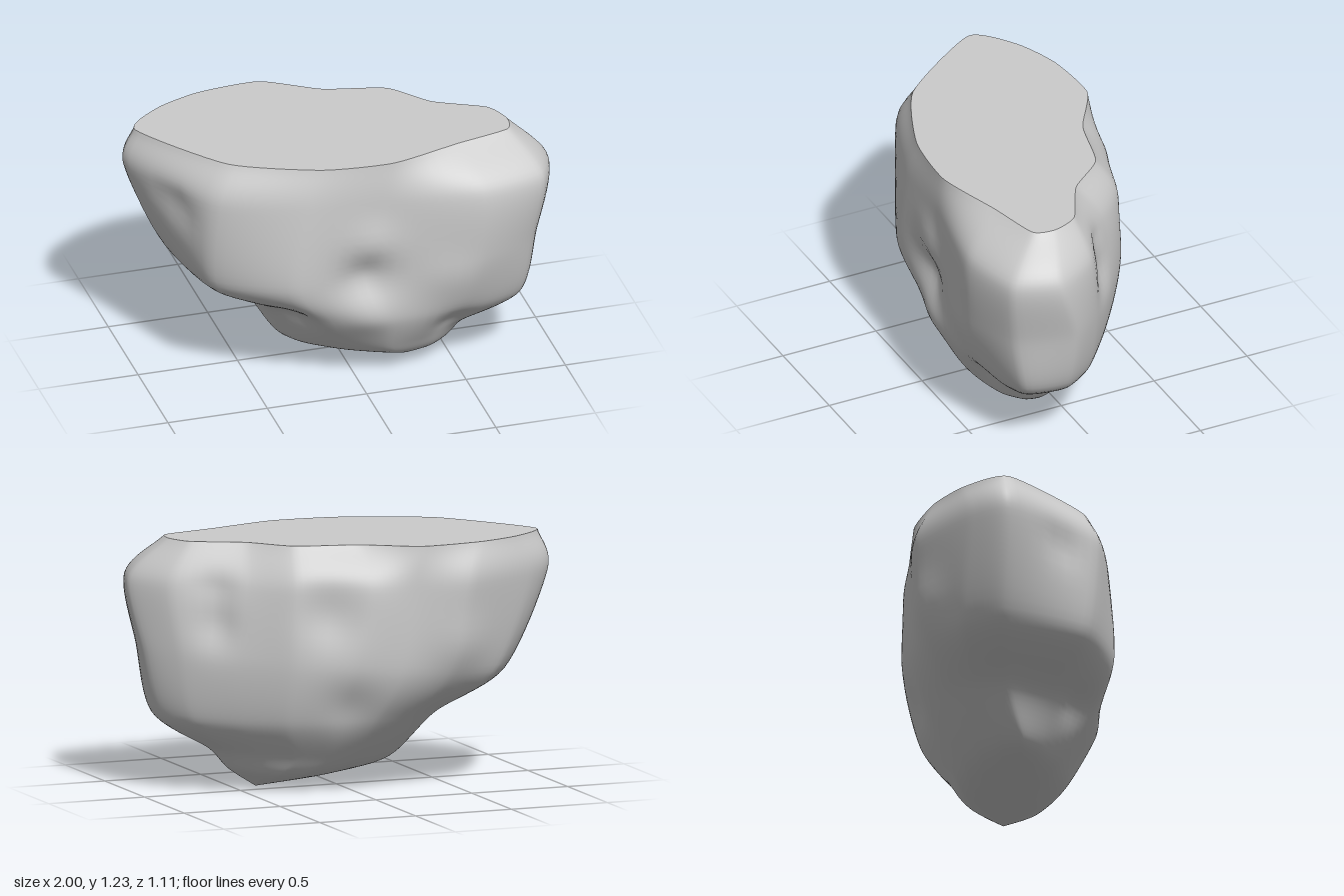
import * as THREE from 'three';

const TOP = 1.225, AROUND = 112, DOWN = 60;

// Outlines (x, z pairs) from the flat top downwards: left tip, back, right tip, front.
// Each lies at height y, rising by tilt along x.
const levels = [
  { y: TOP, tilt: 0, p: [-.95, -.22, -.78, -.40, -.55, -.49, -.24, -.51, .03, -.35, .33, -.27, .50, -.08, .74, .05, .80, .18, .77, .29, .50, .36, .15, .46, -.20, .43, -.62, .24] },
  { y: 1.03, tilt: 0, p: [-1, -.22, -.86, -.39, -.48, -.56, -.20, -.52, .02, -.49, .36, -.38, .55, -.20, .86, .01, .985, .24, .90, .46, .58, .54, .12, .48, -.28, .455, -.71, .28] },
  { y: .62, tilt: .08, p: [-.79, -.20, -.67, -.38, -.40, -.48, -.15, -.50, .10, -.48, .38, -.38, .60, -.22, .83, -.03, .95, .15, .86, .43, .56, .53, .05, .46, -.35, .46, -.70, .23] },
  { y: .36, tilt: 0, p: [-.47, -.10, -.41, -.24, -.25, -.34, -.05, -.39, .15, -.38, .38, -.31, .57, -.18, .76, -.02, .86, .14, .81, .36, .50, .45, .12, .46, -.20, .39, -.40, .15] },
  { y: .15, tilt: .07, p: [-.29, .02, -.24, -.08, -.13, -.16, 0, -.21, .14, -.23, .30, -.20, .43, -.12, .55, 0, .61, .12, .57, .24, .40, .34, .15, .37, -.08, .26, -.23, .13] },
];
const tip = new THREE.Vector3(.38, 0, .1);

// Hollows (negative) and swellings (positive): x, y, z, amount, radius
const dents = [
  [0, .61, .46, -.04, .12], [.03, .41, .47, .025, .12], [.04, .79, .47, .03, .12],
  [-.33, .33, .33, -.045, .10], [.48, .25, .40, -.04, .10], [.42, .57, .53, .015, .13],
  [-.85, .95, .08, -.03, .10], [.70, 1.02, -.10, -.035, .11], [.70, .84, -.12, -.04, .11],
  [.20, .90, -.44, -.04, .15], [-.45, .72, -.50, .025, .15], [.10, .45, -.41, -.025, .13],
];

function applyDents(v) {
  const out = new THREE.Vector3(v.x - .05, (v.y - .8) * .5, v.z * 3).normalize();
  const fade = Math.min(1, (TOP - v.y) / .2);
  let shift = 0;
  for (const [x, y, z, amount, radius] of dents) {
    const d2 = (v.x - x) ** 2 + (v.y - y) ** 2 + (v.z - z) ** 2;
    shift += amount * Math.exp(-d2 / (radius * radius));
  }
  return v.addScaledVector(out, shift * fade);
}

function buildGeometry(vertices, index) {
  const g = new THREE.BufferGeometry().setFromPoints(vertices);
  g.setIndex(index);
  g.computeVertexNormals();
  return g;
}

export function createModel() {
  const group = new THREE.Group();
  group.name = 'rock';
  const material = new THREE.MeshStandardMaterial({ color: 0xcccccc });

  // Low tension keeps the planes broad and the ridges soft
  const rings = levels.map(({ y, tilt, p }) => {
    const pts = [];
    for (let i = 0; i < p.length; i += 2) pts.push(new THREE.Vector3(p[i], y + tilt * p[i], p[i + 1]));
    return new THREE.CatmullRomCurve3(pts, true, 'catmullrom', .3);
  });

  // Sides: one curve down each column, rounding under to the lowest point
  const columns = [];
  for (let i = 0; i < AROUND; i++) {
    const pts = rings.map((ring) => ring.getPoint(i / AROUND));
    const under = pts[pts.length - 1].clone().sub(tip).multiply(new THREE.Vector3(.57, .46, .68)).add(tip);
    columns.push(new THREE.CatmullRomCurve3([...pts, under, tip], false, 'catmullrom', .42));
  }
  const vertices = [], index = [];
  for (let j = 0; j <= DOWN; j++) {
    for (const column of columns) {
      const v = column.getPoint(j / DOWN);
      vertices.push(j < DOWN ? applyDents(v) : v);
    }
  }
  for (let j = 0; j < DOWN; j++) {
    for (let i = 0; i < AROUND; i++) {
      const n = (i + 1) % AROUND;
      const a = j * AROUND + i, b = j * AROUND + n, c = a + AROUND, d = b + AROUND;
      index.push(a, b, c);
      if (j < DOWN - 1) index.push(b, d, c);
    }
  }
  const sides = new THREE.Mesh(buildGeometry(vertices, index), material);
  sides.name = 'rockSides';

  // Flat cut top
  const rim = vertices.slice(0, AROUND);
  const fan = [];
  for (let i = 0; i < AROUND; i++) fan.push(AROUND, (i + 1) % AROUND, i);
  const top = new THREE.Mesh(buildGeometry([...rim, new THREE.Vector3(0, TOP, 0)], fan), material);
  top.name = 'flatTop';

  group.add(sides, top);
  return group;
}
